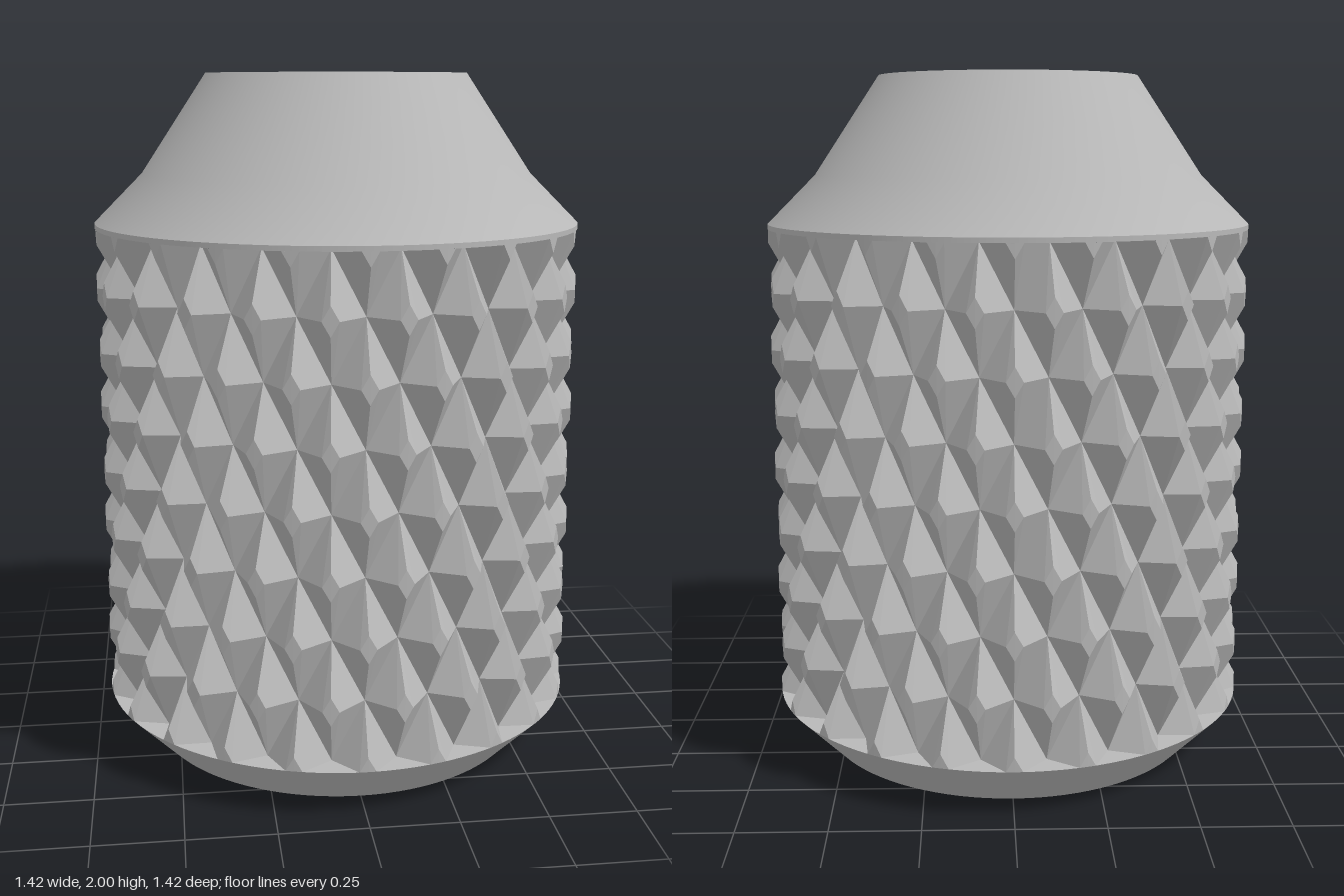
import * as THREE from 'three';

const steel = new THREE.MeshStandardMaterial({ color: 0xb8b8b8 });
steel.name = 'steel grey';

const R = 0.71, FLOOR = 0.635;         // knurl peak and groove radius
const BOTTOM = 0.145, TOP = 1.561;     // knurled zone
const BORE = 0.215, SOCKET_R = 0.385, SOCKET_MOUTH = 0.435, SOCKET_DEPTH = 1.0;
const SEGS = 96;

// Revolved surface; profile upwards faces outward, downwards faces the axis
function revolve(profile, segs = SEGS, flat = false) {
  let g = new THREE.LatheGeometry(profile.map(([r, y]) => new THREE.Vector2(r, y)), segs);
  if (flat) {
    g = g.toNonIndexed();
    g.computeVertexNormals();
  }
  return g;
}

// Points around a regular polygon with a corner on the z axis
function ring(radius, sides) {
  return Array.from({ length: sides }, (_, i) => {
    const a = (i / sides) * Math.PI * 2;
    return new THREE.Vector2(radius * Math.sin(a), radius * Math.cos(a));
  });
}

// Downward-facing plate with a hole
function plateDown(outer, inner, y) {
  const shape = new THREE.Shape(outer);
  shape.holes.push(new THREE.Path(inner));
  return new THREE.ShapeGeometry(shape).rotateX(Math.PI / 2).translate(0, y, 0);
}

// Truncated pyramids left between two crossing sets of helical grooves
function knurlGeometry() {
  const columns = 22, rows = 8, f = 0.23;
  const da = Math.PI / columns, dy = (TOP - BOTTOM) / rows;
  const pos = [];
  const point = (i, k, r) => [r * Math.sin(i * da), BOTTOM + k * dy, r * Math.cos(i * da)];
  const tri = (a, b, c, flip) => pos.push(...a, ...(flip ? c : b), ...(flip ? b : c));
  for (let k = 0; k <= rows; k++) {
    for (let i = k % 2; i < columns * 2; i += 2) {
      for (const sx of [-1, 1]) for (const sy of [-1, 1]) {
        if (k + sy < 0 || k + sy > rows) continue;
        const flip = sx * sy < 0;
        const centre = point(i, k, R);
        const side = point(i + sx * f, k, R), tip = point(i, k + sy * f, R);
        const sideFloor = point(i + sx, k, FLOOR), tipFloor = point(i, k + sy, FLOOR);
        tri(centre, side, tip, flip);
        tri(side, sideFloor, tipFloor, flip);
        tri(side, tipFloor, tip, flip);
      }
    }
  }
  const g = new THREE.BufferGeometry();
  g.setAttribute('position', new THREE.Float32BufferAttribute(pos, 3));
  g.computeVertexNormals();
  return g;
}

export function createModel() {
  const group = new THREE.Group();
  group.name = 'knurledKnob';
  const add = (name, geometry) => {
    const mesh = new THREE.Mesh(geometry, steel);
    mesh.name = name;
    group.add(mesh);
  };

  // Outer body
  add('bottomChamfer', revolve([[0.57, 0], [R, BOTTOM]]));
  add('bottomLedge', revolve([[R, BOTTOM], [0.6, BOTTOM]]));
  add('knurledGrip', knurlGeometry());
  add('topLedge', revolve([[0.6, TOP], [R, TOP]]));
  add('topRim', revolve([[R, TOP], [R, 1.575]]));
  add('taperedNose', revolve([[R, 1.575], [0.57, 1.715], [0.38, 2]]));
  add('topFace', revolve([[0.38, 2], [BORE, 2]]));

  // Through bore and hexagonal socket
  add('bore', revolve([[BORE, 2], [BORE, SOCKET_DEPTH]]));
  add('socketEnd', plateDown(ring(SOCKET_R, 6), ring(BORE, SEGS), SOCKET_DEPTH));
  add('socketWalls', revolve([[SOCKET_R, SOCKET_DEPTH], [SOCKET_R, 0.045]], 6, true));
  add('socketChamfer', revolve([[SOCKET_R, 0.045], [SOCKET_MOUTH, 0]], 6, true));
  add('bottomFace', plateDown(ring(0.57, SEGS), ring(SOCKET_MOUTH, 6), 0));
  return group;
}
